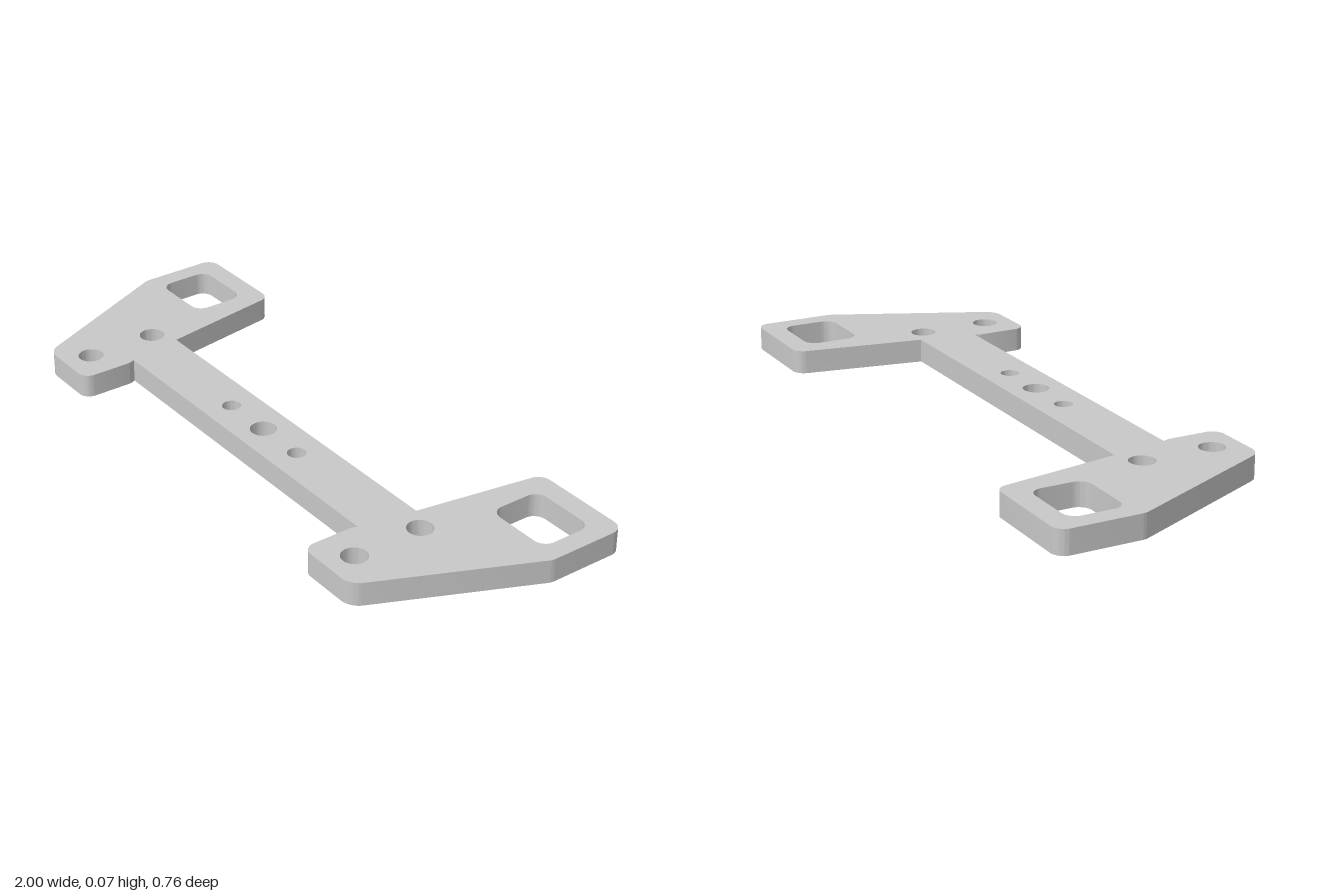
import * as THREE from 'three';
import { toCreasedNormals } from 'three/addons/utils/BufferGeometryUtils.js';

const THICKNESS = 0.073;

// Draw a closed outline from [x, z, cut] corners; cut is the length rounded off each edge
function roundedOutline(path, corners) {
  const pts = corners.map(([x, z]) => new THREE.Vector2(x, -z));
  const n = pts.length;
  pts.forEach((p, i) => {
    const cut = corners[i][2] || 0;
    const toward = (q, d) => p.clone().add(q.clone().sub(p).setLength(d));
    const prev = pts[(i + n - 1) % n], next = pts[(i + 1) % n];
    const a = toward(prev, cut), b = toward(next, cut);
    if (i === 0) path.moveTo(a.x, a.y);
    else path.lineTo(a.x, a.y);
    if (cut) {
      const c1 = toward(prev, cut * 0.45), c2 = toward(next, cut * 0.45);
      path.bezierCurveTo(c1.x, c1.y, c2.x, c2.y, b.x, b.y);
    }
  });
  path.closePath();
  return path;
}

const mirror = (corners) => corners.map(([x, z, cut]) => [-x, z, cut]).reverse();

function roundHole(x, z, r) {
  const path = new THREE.Path();
  path.absarc(x, -z, r, 0, Math.PI * 2, true);
  return path;
}

export function createModel() {
  const group = new THREE.Group();
  group.name = 'mountingBracket';
  const grey = new THREE.MeshStandardMaterial({ color: 0xc8c8c8 });
  grey.name = 'light grey';

  // One half of the outline, counter-clockwise from the front of the crossbar to its back
  const half = [
    [0.57, 0.2],
    [0.563, 0.218, 0.008],
    [0.563, 0.381, 0.036],
    [0.771, 0.381, 0.035],
    [1, -0.123, 0.01],
    [1, -0.381, 0.038],
    [0.668, -0.381, 0.032],
    [0.602, 0.022],
  ];
  const shape = roundedOutline(new THREE.Shape(), [...half, ...mirror(half)]);

  // Slots and screw holes in the two side plates, and pilot holes in the crossbar
  const slot = [
    [0.725, -0.314, 0.038], [0.939, -0.314, 0.038],
    [0.939, -0.143, 0.038], [0.725, -0.143, 0.038],
  ];
  shape.holes.push(roundedOutline(new THREE.Path(), slot));
  shape.holes.push(roundedOutline(new THREE.Path(), mirror(slot)));
  for (const side of [-1, 1]) {
    shape.holes.push(roundHole(side * 0.674, 0.066, 0.039));
    shape.holes.push(roundHole(side * 0.674, 0.291, 0.039));
    shape.holes.push(roundHole(side * 0.165, 0.111, 0.028));
  }
  shape.holes.push(roundHole(0, 0.111, 0.04));

  // Flat plate laid on the ground
  const plate = new THREE.ExtrudeGeometry(shape, {
    depth: THICKNESS, bevelEnabled: false, curveSegments: 16,
  });
  plate.rotateX(-Math.PI / 2);
  const mesh = new THREE.Mesh(toCreasedNormals(plate, 0.45), grey);
  mesh.name = 'bracketPlate';
  group.add(mesh);
  return group;
}
